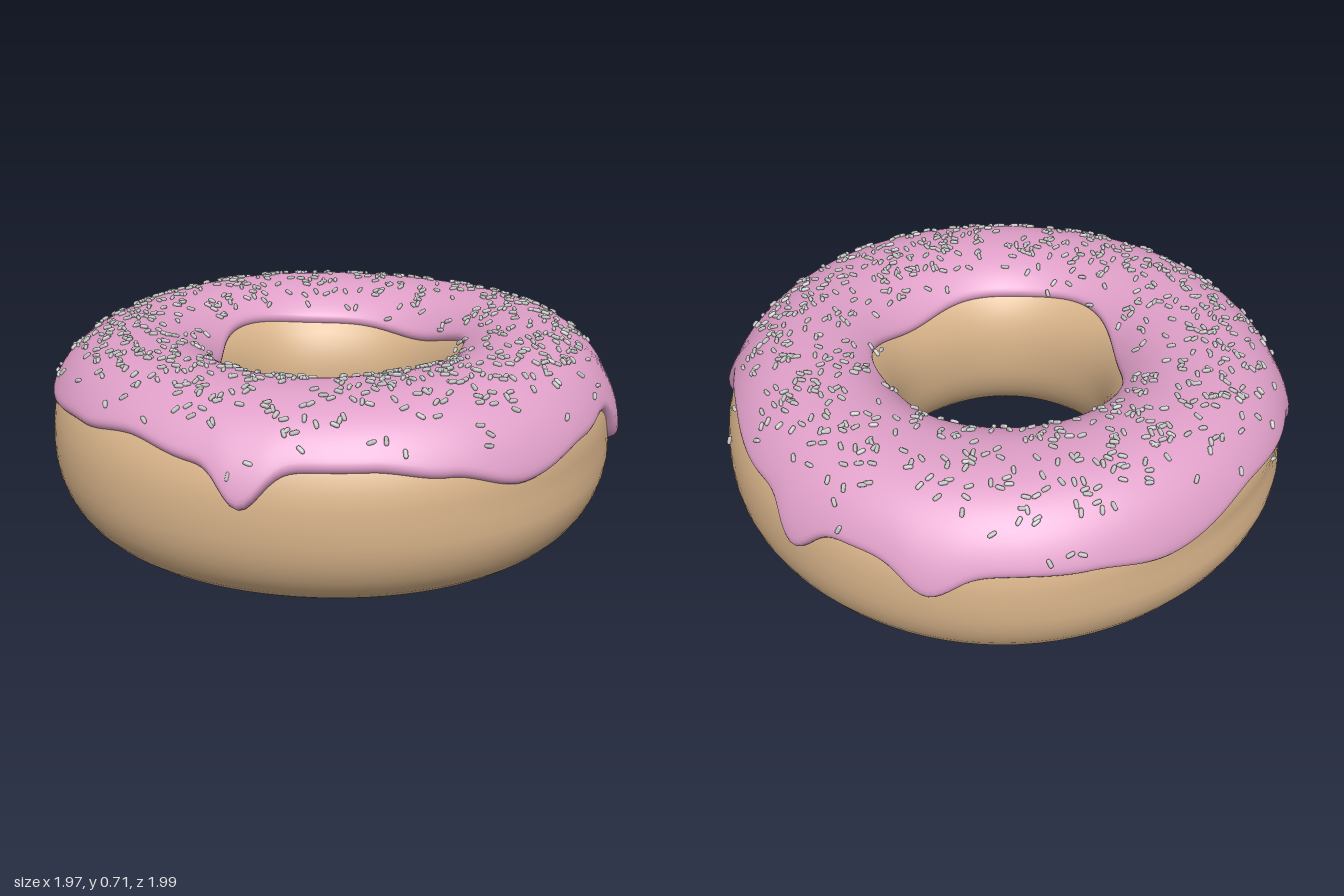
import * as THREE from 'three';
import { mergeGeometries } from 'three/addons/utils/BufferGeometryUtils.js';

const RAD = Math.PI / 180;
const RING = 0.672, HALF_W = 0.31, HALF_H = 0.33, THICK = 0.022;

const spow = (x, p) => Math.sign(x) * Math.abs(x) ** p;
const angleDiff = (a, b) => Math.atan2(Math.sin(a - b), Math.cos(a - b));
const bump = (a, deg, width) => Math.exp(-((angleDiff(a, deg * RAD) / (width * RAD)) ** 2));

// Point on the ring: a runs round the ring, v round its section (0 outside, 90 deg top), h lifts off the surface
function ringPoint(a, v, h = 0) {
  const c = Math.cos(v), s = Math.sin(v);
  const waist = 0.022 * Math.exp(-((angleDiff(v, 0.06) / 0.16) ** 2)) * (bump(a, 180, 35) + 0.6 * bump(a, 0, 30));
  const w = HALF_W + 0.006 * Math.sin(3 * a + 1) + 0.004 * Math.sin(5 * a);
  const top = s > 0 ? s * s * (0.022 * bump(a, -35, 28) + 0.004 * Math.sin(4 * a)) : 0;
  const r = RING + w * spow(c, 0.9) - waist * c + h * c;
  const y = HALF_H + HALF_H * spow(s, 0.9) + top + h * s;
  return new THREE.Vector3(r * Math.cos(a), y, r * Math.sin(a) + 0.008);
}

// Smooth skin over a grid that closes round the ring, and optionally round the section
function ringSkin(nA, nV, closed, point) {
  const pos = [], index = [];
  const cols = closed ? nV : nV + 1;
  for (let i = 0; i < nA; i++)
    for (let j = 0; j < cols; j++) pos.push(...point((i / nA) * Math.PI * 2, j / nV).toArray());
  for (let i = 0; i < nA; i++)
    for (let j = 0; j < nV; j++) {
      const k = (j + 1) % cols, n = (i + 1) % nA;
      const p = i * cols + j, q = i * cols + k, s = n * cols + j, t = n * cols + k;
      index.push(p, q, s, q, t, s);
    }
  const g = new THREE.BufferGeometry();
  g.setAttribute('position', new THREE.Float32BufferAttribute(pos, 3));
  g.setIndex(index);
  g.computeVertexNormals();
  return g;
}

// Outer rim of the icing: [angle, height] knots, then drips [angle, drop, width]
const RIM = [[-180, 0.47], [-156, 0.40], [-140, 0.44], [-125, 0.45], [-97, 0.46], [-70, 0.49], [-49, 0.53],
  [-36, 0.52], [-18, 0.48], [-6, 0.46], [13, 0.41], [28, 0.47], [42, 0.50], [75, 0.50], [90, 0.53],
  [105, 0.50], [127, 0.47], [145, 0.47], [162, 0.45], [180, 0.47]];
const DRIPS = [[-111, 0.09, 6], [-83, 0.11, 5], [-28, 0.165, 4.5], [65, 0.12, 5], [148, 0.14, 4.5]];

function rimHeight(a) {
  const d = angleDiff(a, 0) / RAD;
  let k = 0;
  while (k < RIM.length - 2 && d > RIM[k + 1][0]) k++;
  const [[a0, y0], [a1, y1]] = [RIM[k], RIM[k + 1]];
  const t = THREE.MathUtils.smoothstep(d, a0, a1);
  return DRIPS.reduce((y, [deg, drop, w]) => y - drop * bump(a, deg, w), y0 + (y1 - y0) * t);
}

const dripAmount = (a) => DRIPS.reduce((m, [deg, , w]) => Math.max(m, bump(a, deg, w)), 0);

function icingPoint(a, t) {
  const s = (1 - Math.cos(Math.PI * t)) / 2;
  const v0 = Math.asin(spow((rimHeight(a) - HALF_H) / HALF_H, 1 / 0.9));
  const v1 = (139 + 5 * Math.sin(3 * a + 0.6) + 3 * Math.sin(5 * a + 2)) * RAD;
  const v = v0 + (v1 - v0) * s;
  // Rounded lip at both edges, swollen where it drips
  const edge = THREE.MathUtils.clamp(Math.min(v - v0, v1 - v) * 0.32 / 0.028, 0, 1);
  const lip = Math.sqrt(edge * (2 - edge));
  const swell = 0.012 * dripAmount(a) * Math.exp(-(((v - v0) / 0.4) ** 2));
  return ringPoint(a, v, -0.005 + (THICK + 0.005 + swell) * lip);
}

function seeded(seed) {
  return () => {
    seed = (seed * 1664525 + 1013904223) % 4294967296;
    return seed / 4294967296;
  };
}

// Tiny rods lying on the icing, thinning out toward the rim
function sprinkleGeometry(count) {
  const rand = seeded(7);
  const rod = new THREE.CapsuleGeometry(0.0075, 0.016, 2, 5);
  const up = new THREE.Vector3(0, 1, 0), one = new THREE.Vector3(1, 1, 1);
  const rods = [];
  for (let i = 0; i < count; i++) {
    const a = rand() * Math.PI * 2;
    const v = (82 + (rand() + rand() + rand() - 1.5) * 44) * RAD;
    const p = ringPoint(a, v, THICK + 0.004);
    const along = ringPoint(a + 0.01, v, THICK).sub(ringPoint(a - 0.01, v, THICK)).normalize();
    const across = ringPoint(a, v + 0.01, THICK).sub(ringPoint(a, v - 0.01, THICK)).normalize();
    const turn = rand() * Math.PI * 2;
    const dir = along.multiplyScalar(Math.cos(turn)).addScaledVector(across, Math.sin(turn)).normalize();
    const q = new THREE.Quaternion().setFromUnitVectors(up, dir);
    rods.push(rod.clone().applyMatrix4(new THREE.Matrix4().compose(p, q, one)));
  }
  return mergeGeometries(rods);
}

export function createModel() {
  const group = new THREE.Group();
  group.name = 'donut';
  const add = (name, geometry, color) => {
    const mesh = new THREE.Mesh(geometry, new THREE.MeshStandardMaterial({ color }));
    mesh.name = name;
    group.add(mesh);
  };
  add('dough', ringSkin(96, 44, true, (a, t) => ringPoint(a, t * Math.PI * 2)), 0xd9b48a);
  add('icing', ringSkin(288, 36, false, icingPoint), 0xdf9fc8);
  add('sprinkles', sprinkleGeometry(800), 0xcccccc);
  return group;
}
